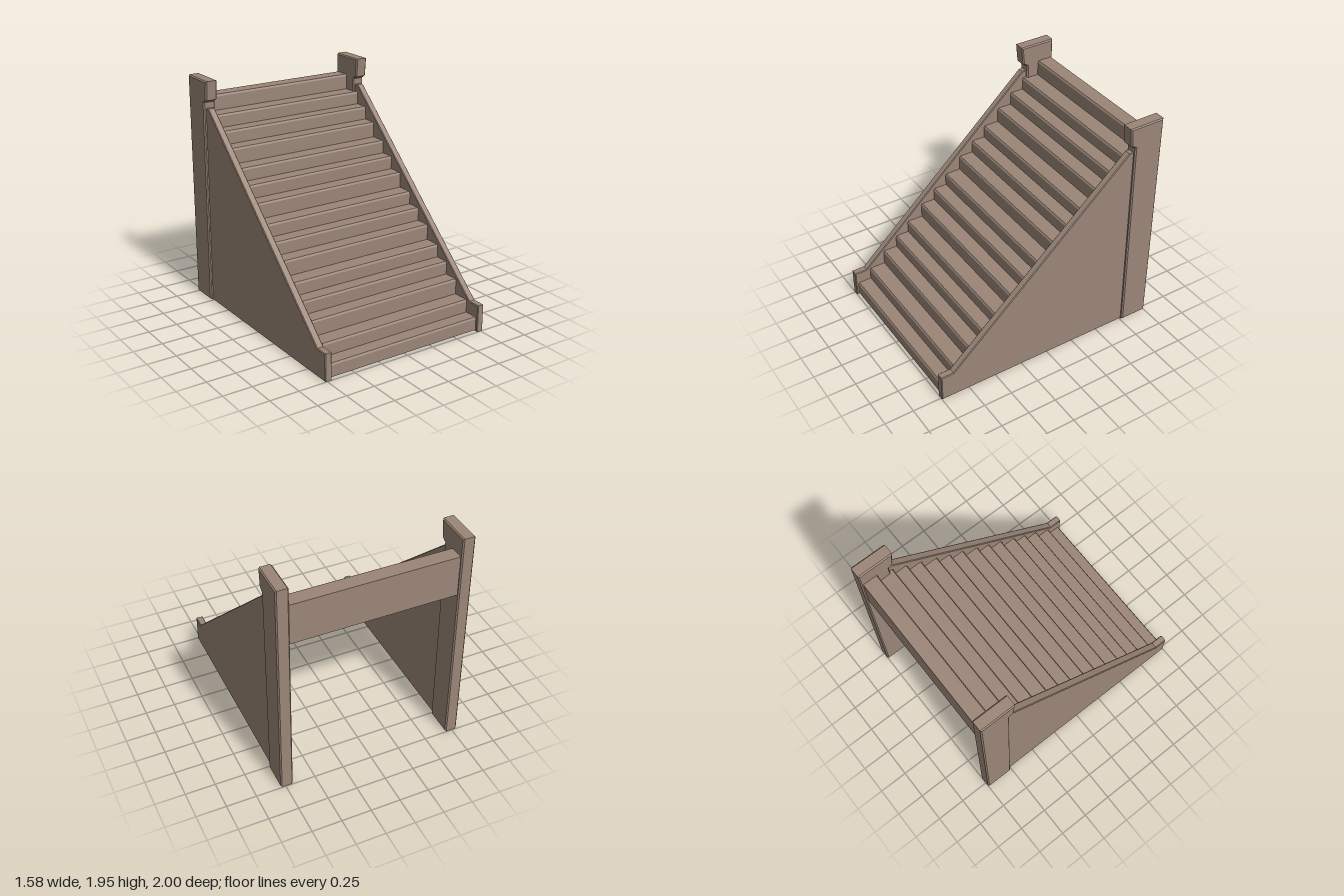
import * as THREE from 'three';

const wood = new THREE.MeshStandardMaterial({ color: 0x9b8678 });
wood.name = 'brown wood';

// Extrudes a side profile of [z, y] points across x, with an optional chamfer kept inside the outline.
function sideProfile(name, points, width, x, chamfer = 0) {
  const shape = new THREE.Shape(points.map(([z, y]) => new THREE.Vector2(z, y)));
  const geometry = new THREE.ExtrudeGeometry(shape, {
    depth: width - 2 * chamfer,
    bevelEnabled: chamfer > 0,
    bevelSize: chamfer,
    bevelThickness: chamfer,
    bevelOffset: -chamfer,
    bevelSegments: 1,
  });
  geometry.translate(0, 0, -(width - 2 * chamfer) / 2);
  geometry.rotateY(-Math.PI / 2);
  const mesh = new THREE.Mesh(geometry, wood);
  mesh.name = name;
  mesh.position.x = x;
  return mesh;
}

export function createModel() {
  const group = new THREE.Group();
  group.name = 'staircase';

  // Five solid blocks, each carrying three steps with chamfered nosings
  const BLOCKS = 5, RUN = 0.392, RISE = 0.354;
  const risers = [0, 0.122, 0.264];
  const treads = [0.112, 0.222, RISE];
  const edge = 0.016;
  for (let k = 0; k < BLOCKS; k++) {
    const front = 0.98 - k * RUN;
    const base = 0.015 + k * RISE;
    const back = front - RUN - 0.002;
    const points = [[back, base]];
    let y = base;
    risers.forEach((r, i) => {
      const z = front - r;
      const top = base + treads[i];
      points.push([z, y], [z, top - edge], [z - edge * 0.6, top]);
      y = top;
    });
    points.push([back, y]);
    group.add(sideProfile('stepBlock' + (k + 1), points, 1.43, 0));
  }

  // Sloping side panels and tall rear posts with projecting heads
  const panel = [[-0.8, 0], [1, 0], [1, 0.235], [0.89, 0.235], [-0.71, 1.715], [-0.8, 1.715]];
  const post = [[-1, 0.005], [-0.76, 0.005], [-0.745, 1.765], [-0.705, 1.79], [-0.69, 1.95], [-1, 1.95]];
  for (const [side, s] of [['left', 1], ['right', -1]]) {
    group.add(sideProfile(side + 'SidePanel', panel, 0.06, s * 0.74, 0.006));
    group.add(sideProfile(side + 'RearPost', post, 0.104, s * 0.74, 0.01));
  }
  return group;
}
